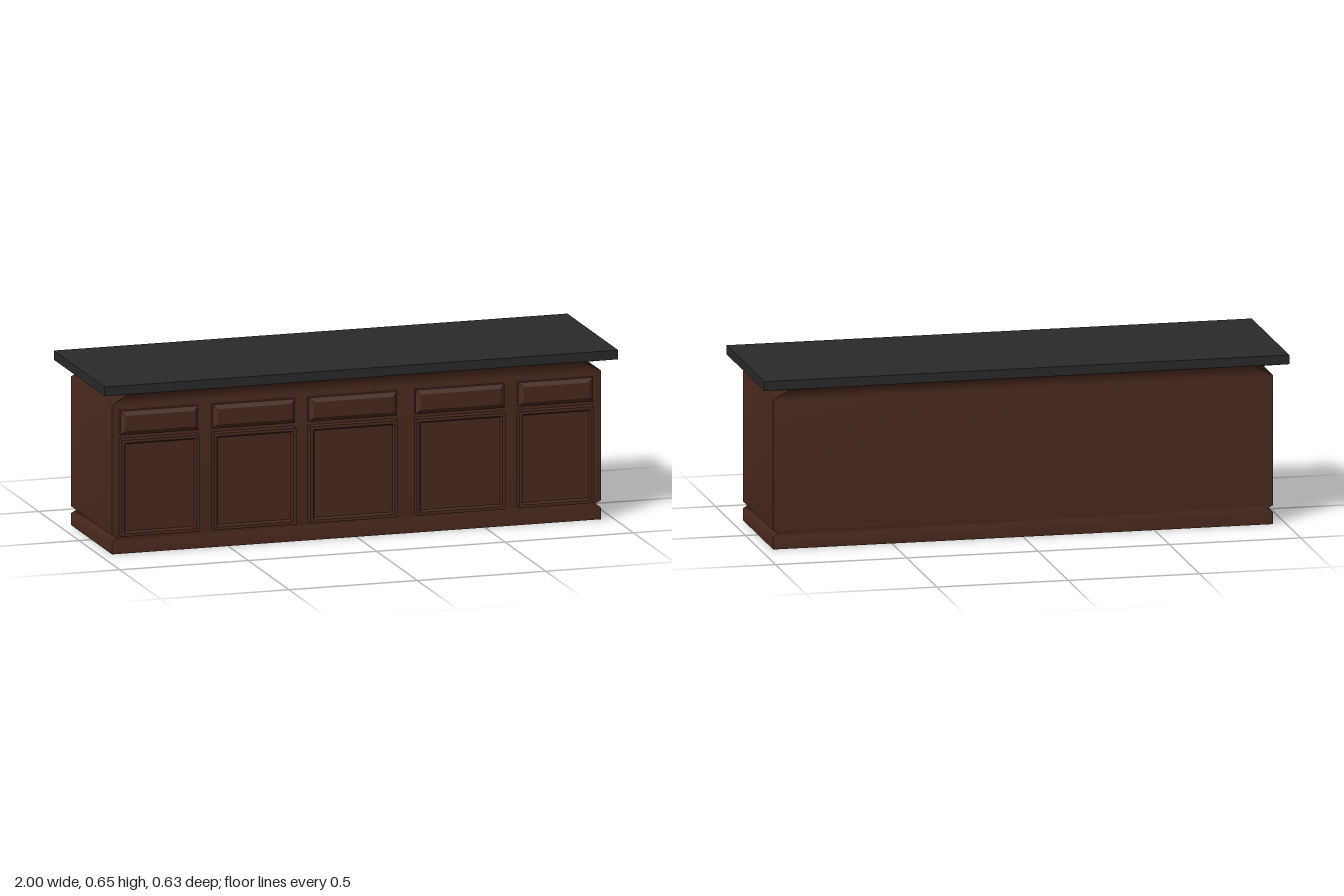
import * as THREE from 'three';

const wood = new THREE.MeshStandardMaterial({ color: 0x4a291e });
const woodFlat = new THREE.MeshStandardMaterial({ color: 0x4a291e, flatShading: true });
const stone = new THREE.MeshStandardMaterial({ color: 0x2a2a2a });

// Stacks rectangular rings [halfX, halfZ, y]; smooth up each side, sharp at the four corners
function rectLoft(rings, capBottom, capTop) {
  const pos = [], index = [];
  const signs = [[-1, 1], [1, 1], [1, -1], [-1, -1]];
  const corner = ([hx, hz, y], k) => pos.push(signs[k % 4][0] * hx, y, signs[k % 4][1] * hz);
  for (let k = 0; k < 4; k++) {
    const base = pos.length / 3;
    rings.forEach((ring, i) => {
      corner(ring, k);
      corner(ring, k + 1);
      if (i === 0) return;
      const a = base + 2 * (i - 1);
      index.push(a, a + 1, a + 3, a, a + 3, a + 2);
    });
  }
  const cap = (ring, up) => {
    const b = pos.length / 3;
    for (let k = 0; k < 4; k++) corner(ring, k);
    index.push(...(up ? [b, b + 1, b + 2, b, b + 2, b + 3] : [b, b + 2, b + 1, b, b + 3, b + 2]));
  };
  if (capBottom) cap(rings[0], false);
  if (capTop) cap(rings[rings.length - 1], true);
  const g = new THREE.BufferGeometry();
  g.setAttribute('position', new THREE.Float32BufferAttribute(pos, 3));
  g.setIndex(index);
  g.computeVertexNormals();
  return g;
}

function addMesh(parent, name, geometry, material) {
  const mesh = new THREE.Mesh(geometry, material);
  mesh.name = name;
  parent.add(mesh);
  return mesh;
}

// Front panel lofted outwards along +z; steps are [inset, z]
function addFront(parent, name, x0, x1, y0, y1, steps) {
  const hw = (x1 - x0) / 2, hh = (y1 - y0) / 2;
  const g = rectLoft(steps.map(([inset, z]) => [hw - inset, hh - inset, z]), false, true);
  g.rotateX(Math.PI / 2);
  addMesh(parent, name, g, woodFlat).position.set((x0 + x1) / 2, (y0 + y1) / 2, 0);
}

export function createModel() {
  const model = new THREE.Group();
  model.name = 'counter';

  // Cabinet body: plinth, groove, walls, neck and flare under the worktop
  addMesh(model, 'cabinetBody', rectLoft([
    [0.952, 0.252, 0], [0.952, 0.252, 0.045], [0.932, 0.246, 0.06], [0.952, 0.252, 0.072],
    [0.952, 0.252, 0.567], [0.89, 0.235, 0.6], [1, 0.313, 0.62],
  ], true, false), wood);

  // Worktop slab
  addMesh(model, 'worktop', rectLoft([[1, 0.313, 0.62], [1, 0.313, 0.655]], false, true), stone);

  // Five bays, each with a bevelled drawer above a recessed-panel door
  const bays = [[-0.925, -0.622], [-0.565, -0.245], [-0.19, 0.152], [0.225, 0.57], [0.625, 0.915]];
  bays.forEach(([x0, x1], i) => {
    const bay = new THREE.Group();
    bay.name = `bay${i + 1}`;
    addFront(bay, 'drawerFront', x0, x1, 0.456, 0.547, [[0, 0.245], [0, 0.27], [0.016, 0.279]]);
    addFront(bay, 'door', x0, x1, 0.072, 0.44, [[0, 0.245], [0, 0.285], [0.012, 0.285], [0.018, 0.272]]);
    model.add(bay);
  });

  return model;
}
